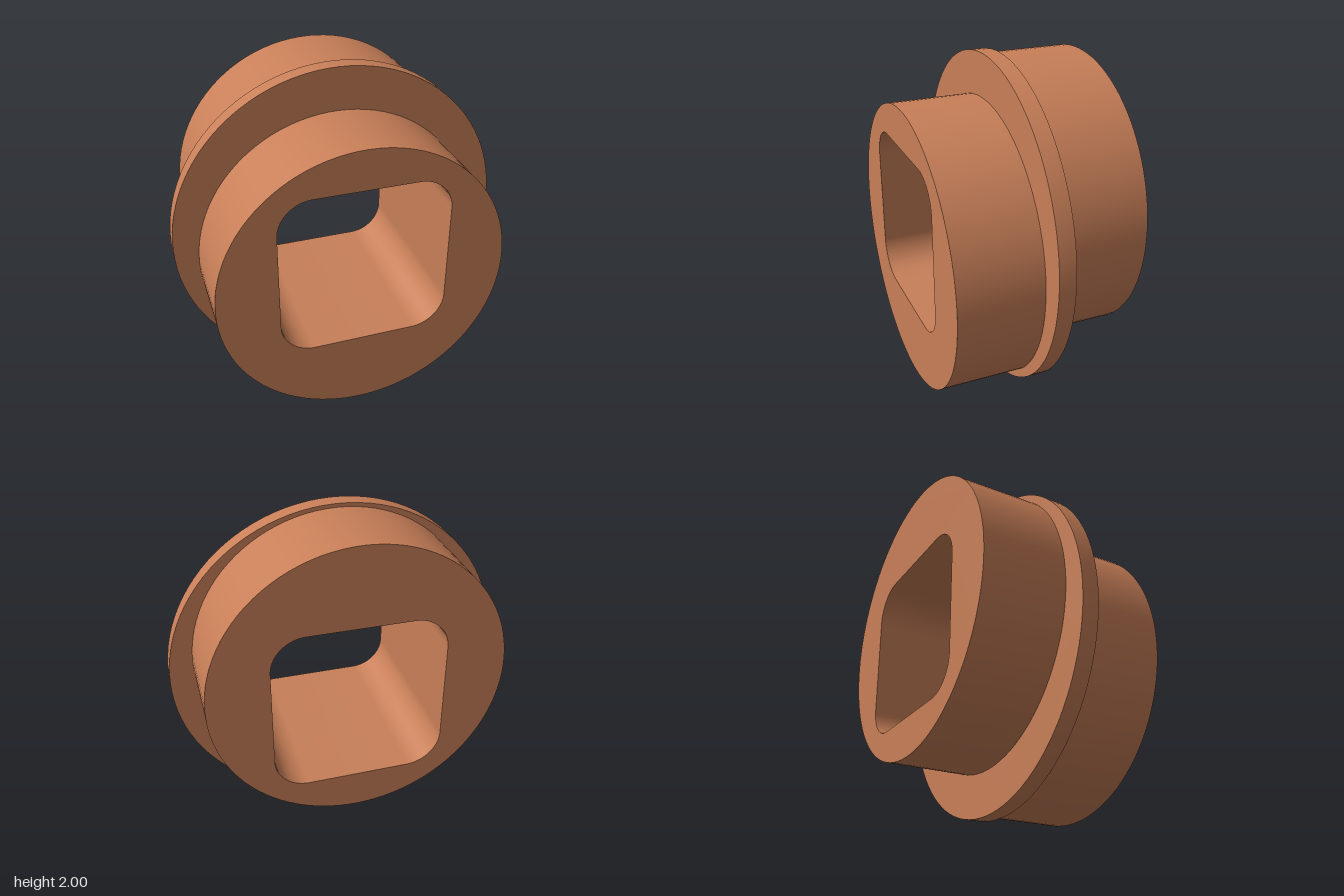
import * as THREE from 'three';
import { toCreasedNormals } from 'three/addons/utils/BufferGeometryUtils.js';

const material = new THREE.MeshStandardMaterial({ color: 0xc87f58 });

// Square opening with rounded corners, shared by all discs
function boreHole(cy, half, r) {
  const hole = new THREE.Path();
  const c = half - r;
  hole.absarc(c, cy + c, r, 0, Math.PI / 2);
  hole.absarc(-c, cy + c, r, Math.PI / 2, Math.PI);
  hole.absarc(-c, cy - c, r, Math.PI, Math.PI * 1.5);
  hole.absarc(c, cy - c, r, Math.PI * 1.5, Math.PI * 2);
  hole.closePath();
  return hole;
}

// Round disc along z, pierced by the bore
function disc(name, radius, cy, z0, z1) {
  const shape = new THREE.Shape();
  shape.absarc(0, cy, radius, 0, Math.PI * 2);
  shape.holes.push(boreHole(1, 0.5, 0.2));
  const geometry = new THREE.ExtrudeGeometry(shape, {
    depth: z1 - z0, bevelEnabled: false, curveSegments: 48,
  });
  geometry.translate(0, 0, z0);
  const mesh = new THREE.Mesh(toCreasedNormals(geometry, Math.PI / 6), material);
  mesh.name = name;
  return mesh;
}

export function createModel() {
  const group = new THREE.Group();
  group.name = 'eccentricBushing';
  group.add(
    disc('flange', 1, 1, -0.05, 0.05),
    // Hubs are offset in opposite directions from the flange axis
    disc('frontHub', 0.858, 0.884, 0.05, 0.55),
    disc('backHub', 0.858, 1.12, -0.55, -0.05),
  );
  return group;
}
